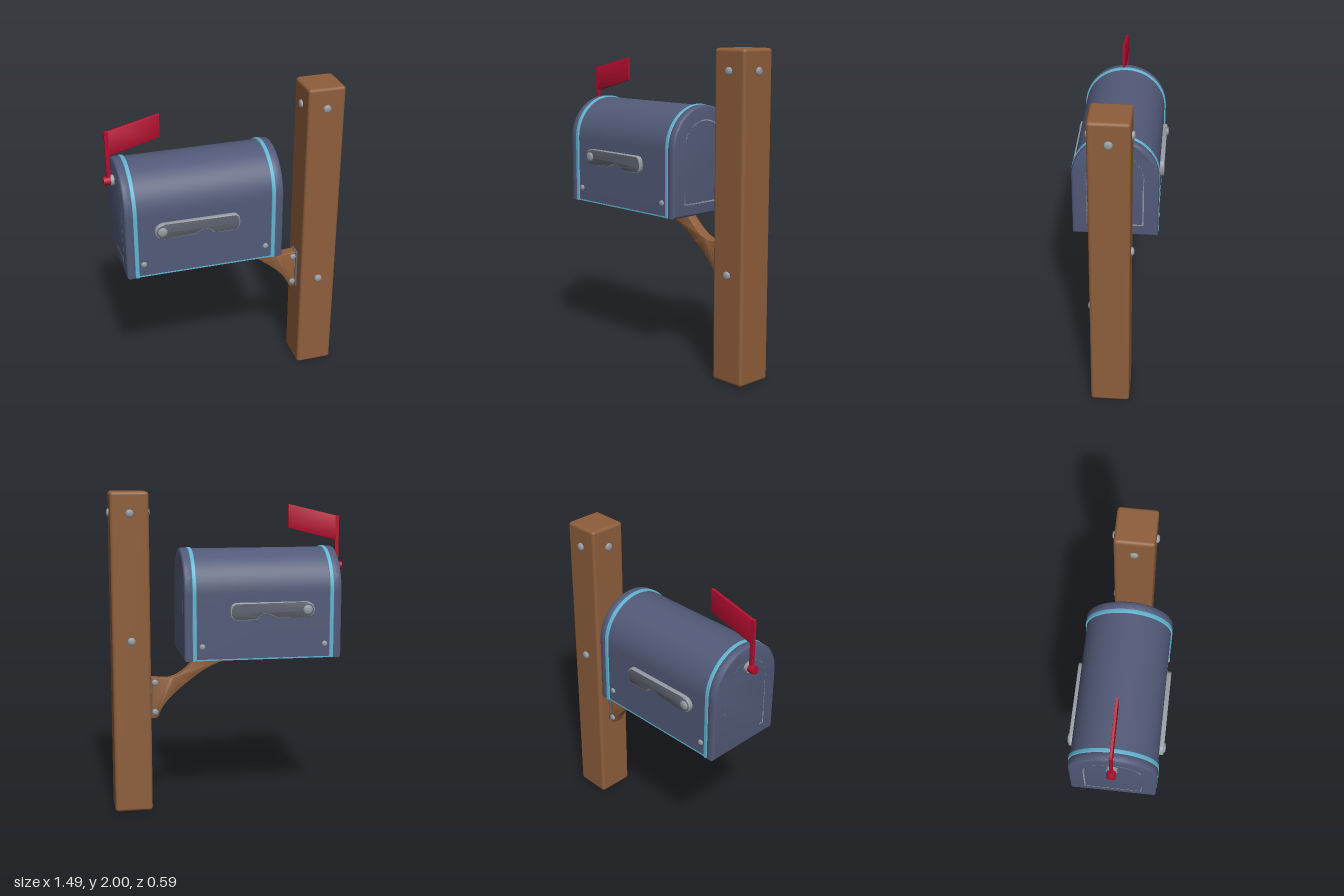
import * as THREE from 'three';
import { toCreasedNormals } from 'three/addons/utils/BufferGeometryUtils.js';
import { RoundedBoxGeometry } from 'three/addons/geometries/RoundedBoxGeometry.js';

const mat = (name, color) => {
  const m = new THREE.MeshStandardMaterial({ color });
  m.name = name;
  return m;
};

// Arched outline: flat bottom, straight sides, semicircular top
function arch(r, bottom, centre, Type = THREE.Shape) {
  const s = new Type();
  s.moveTo(-r, bottom);
  s.lineTo(r, bottom);
  s.lineTo(r, centre);
  s.absarc(0, centre, r, 0, Math.PI, false);
  s.lineTo(-r, bottom);
  return s;
}

// Centred extrusion whose bevel stays inside the outline and the depth
function extrude(shape, depth, bevel = 0, crease = 0.6) {
  const g = new THREE.ExtrudeGeometry(shape, {
    depth: depth - 2 * bevel, bevelEnabled: bevel > 0, bevelThickness: bevel,
    bevelSize: bevel, bevelOffset: -bevel, bevelSegments: 4, curveSegments: 28,
  });
  g.translate(0, 0, -depth / 2 + bevel);
  return toCreasedNormals(g, crease);
}

export function createModel() {
  const root = new THREE.Group();
  root.name = 'mailbox';
  const navy = mat('navy metal', 0x525a78);
  const wood = mat('brown wood', 0x8e5e3b);
  const red = mat('red flag', 0xb20d2f);
  const cyan = mat('light blue trim', 0x62b3d0);
  const silver = mat('silver metal', 0x959ca3);
  const grey = mat('dark grey metal', 0x5f636f);

  const add = (name, geo, material, x = 0, y = 0, z = 0) => {
    const m = new THREE.Mesh(geo, material);
    m.name = name;
    m.position.set(x, y, z);
    root.add(m);
    return m;
  };

  // Domed bolt head pointing along a direction
  const up = new THREE.Vector3(0, 1, 0);
  const bolt = (name, pos, dir, r = 0.022, h = 0.018) => {
    const profile = [[r, -0.005], [r, h * 0.45], [r * 0.8, h * 0.8], [r * 0.4, h], [0, h]]
      .map(([a, b]) => new THREE.Vector2(a, b));
    const m = add(name, new THREE.LatheGeometry(profile, 14), silver, ...pos);
    m.quaternion.setFromUnitVectors(up, new THREE.Vector3(...dir));
  };

  // Post
  const px = 0.608;
  add('post', new RoundedBoxGeometry(0.236, 2, 0.24, 4, 0.02), wood, px, 1, 0);
  for (const s of [-1, 1]) {
    bolt('postBolt', [px, 1.87, s * 0.12], [0, 0, s], 0.025);
    bolt('postBolt', [px + s * 0.118, 1.87, 0], [s, 0, 0], 0.025, 0.015);
  }
  bolt('postBolt', [px, 0.67, 0.12], [0, 0, 1], 0.025);
  bolt('postBolt', [px, 1.09, -0.12], [0, 0, -1], 0.025);

  // Box body
  const cy = 1.39;
  const along = (name, geo, material, x) => add(name, geo.rotateY(Math.PI / 2), material, x);
  along('boxBody', extrude(arch(0.256, 0.983, cy), 0.93), navy, -0.19);

  // Both ends: rolled rim, trim band, raised arched panel
  for (const s of [-1, 1]) {
    const end = -0.19 + s * 0.49;
    const rim = arch(0.262, 0.98, cy);
    rim.holes.push(arch(0.222, 1.015, cy, THREE.Path));
    along('endRim', extrude(rim, 0.06, 0.018), navy, end - s * 0.03);
    along('trimBand', extrude(arch(0.265, 0.981, cy), 0.026, 0.006), cyan, -0.19 + s * 0.427);

    along('endPanel', extrude(arch(0.178, 1.05, cy), 0.024, 0.008), [grey, silver], end - s * 0.018);
    const frame = arch(0.182, 1.045, cy);
    frame.holes.push(arch(0.158, 1.07, cy, THREE.Path));
    along('panelFrame', extrude(frame, 0.028, 0.008), silver, end - s * 0.014);
  }

  // Side plaque outline with a notch in the lower edge
  const plaque = new THREE.Shape();
  plaque.moveTo(-0.46, 1.236);
  plaque.lineTo(-0.28, 1.238);
  plaque.bezierCurveTo(-0.24, 1.238, -0.24, 1.262, -0.2, 1.262);
  plaque.bezierCurveTo(-0.15, 1.262, -0.17, 1.226, -0.12, 1.226);
  plaque.lineTo(-0.02, 1.226);
  plaque.quadraticCurveTo(0.02, 1.228, 0.02, 1.28);
  plaque.quadraticCurveTo(0.02, 1.333, -0.02, 1.335);
  plaque.lineTo(-0.46, 1.335);
  plaque.absarc(-0.455, 1.285, 0.049, Math.PI / 2, Math.PI * 1.5, false);

  for (const s of [-1, 1]) {
    add('sidePlaque', extrude(plaque, 0.03, 0.007), [grey, silver], 0, 0, s * 0.268);
    bolt('plaqueBolt', [-0.46, 1.285, s * 0.28], [0, 0, s], 0.03, 0.014);
    for (const x of [-0.575, 0.19]) bolt('bodyBolt', [x, 1.067, s * 0.256], [0, 0, s], 0.018, 0.012);
    add('lowerTrim', new THREE.BoxGeometry(0.85, 0.008, 0.008), cyan, -0.19, 0.985, s * 0.254);
  }

  // Curved support bracket
  const b = new THREE.Shape();
  b.moveTo(-0.22, 0.985);
  b.bezierCurveTo(-0.1, 0.965, 0.06, 0.95, 0.2, 0.845);
  b.bezierCurveTo(0.32, 0.755, 0.41, 0.68, 0.435, 0.6);
  b.quadraticCurveTo(0.442, 0.58, 0.46, 0.58);
  b.lineTo(0.483, 0.58);
  b.lineTo(0.483, 0.84);
  b.lineTo(0.38, 0.832);
  b.bezierCurveTo(0.3, 0.84, 0.25, 0.9, 0.205, 0.94);
  b.quadraticCurveTo(0.19, 0.95, 0.19, 0.985);
  add('bracket', extrude(b, 0.068, 0.004), wood);
  add('bracketPlate', new RoundedBoxGeometry(0.014, 0.265, 0.09, 2, 0.005), grey, 0.484, 0.713, 0);
  for (const s of [-1, 1])
    for (const y of [0.62, 0.81]) bolt('bracketBolt', [0.46, y, s * 0.034], [0, 0, s], 0.02, 0.014);

  // Signal flag with its pole, pivot and washer
  const f = new THREE.Shape();
  [[-0.725, 1.69], [-0.69, 1.69], [-0.395, 1.768], [-0.395, 1.916], [-0.69, 1.845], [-0.725, 1.838]]
    .forEach(([x, y], i) => (i ? f.lineTo(x, y) : f.moveTo(x, y)));
  add('flag', extrude(f, 0.016, 0.002), red);
  add('flagPole', new THREE.BoxGeometry(0.022, 0.32, 0.02), red, -0.712, 1.68, 0);
  const turned = (name, r, length, material, x) =>
    add(name, new THREE.CylinderGeometry(r, r, length, 18).rotateZ(Math.PI / 2), material, x, 1.525, 0);
  turned('flagPivot', 0.026, 0.042, red, -0.724);
  turned('flagWasher', 0.033, 0.02, silver, -0.693);
  turned('flagAxle', 0.018, 0.06, silver, -0.675);

  return root;
}
